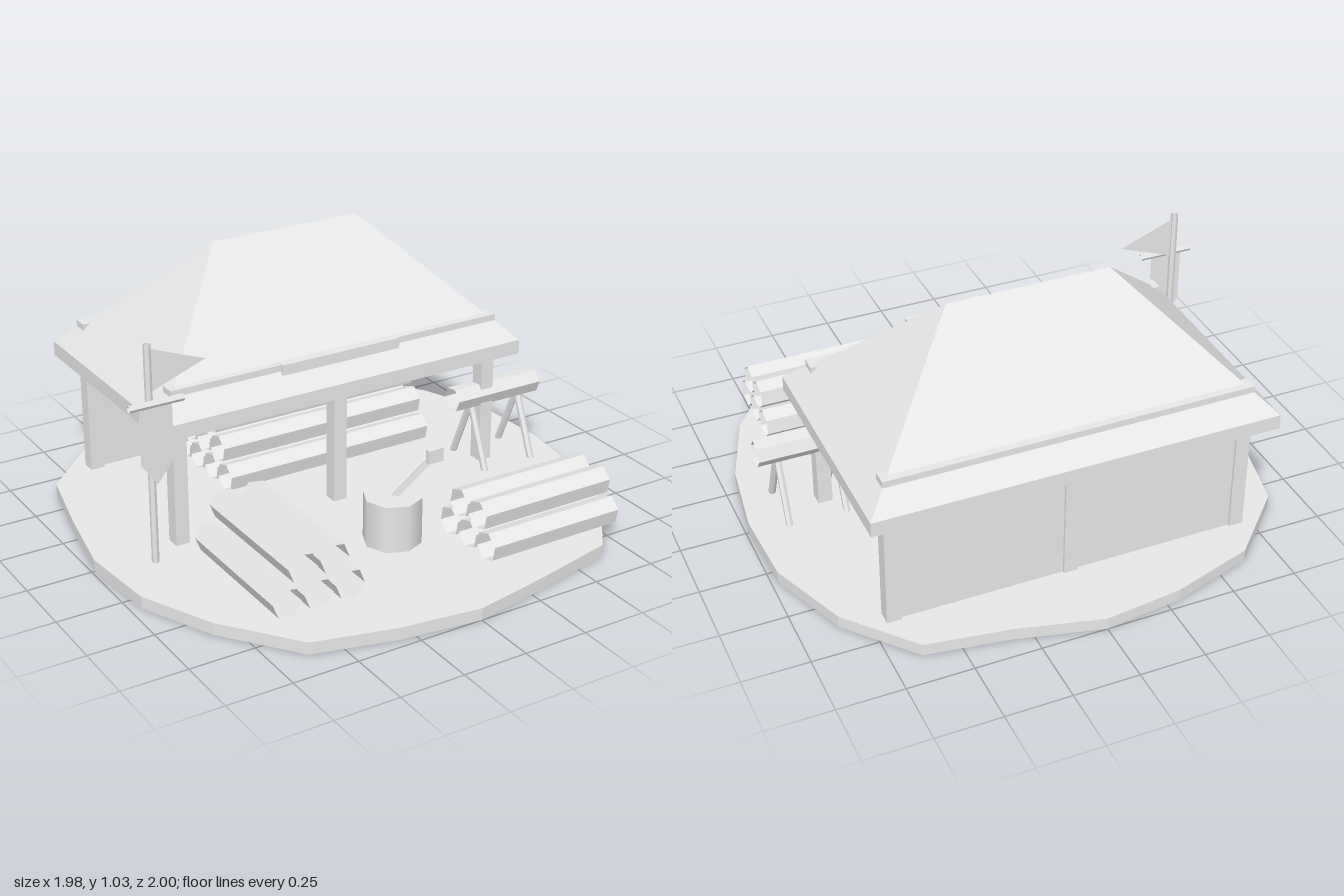
import * as THREE from 'three';
import { ConvexGeometry } from 'three/addons/geometries/ConvexGeometry.js';

const V = (x, y, z) => new THREE.Vector3(x, y, z);

// Gives every face its own flat normal
const facet = (geo) => {
  const flat = geo.toNonIndexed();
  flat.computeVertexNormals();
  return flat;
};

export function createModel() {
  const root = new THREE.Group();
  root.name = 'woodShed';
  const grey = new THREE.MeshStandardMaterial({ color: 0xe7e7e7, side: THREE.DoubleSide });
  grey.name = 'plainGrey';

  const add = (name, geo, parent = root) => {
    const mesh = new THREE.Mesh(geo, grey);
    mesh.name = name;
    parent.add(mesh);
    return mesh;
  };
  // Box given by its lower and upper corners
  const box = (name, [x0, y0, z0], [x1, y1, z1]) =>
    add(name, new THREE.BoxGeometry(x1 - x0, y1 - y0, z1 - z0))
      .position.set((x0 + x1) / 2, (y0 + y1) / 2, (z0 + z1) / 2);
  // Straight bar between two points, hollow if open
  const bar = (name, a, b, r, sides, open, parent = root) => {
    const geo = new THREE.CylinderGeometry(r, r, a.distanceTo(b), sides, 1, open);
    const mesh = add(name, facet(geo), parent);
    mesh.position.copy(a).add(b).multiplyScalar(0.5);
    mesh.quaternion.setFromUnitVectors(V(0, 1, 0), b.clone().sub(a).normalize());
  };
  // Hollow six-sided log along z, rolled about its length
  const log = (name, r, length, roll, parent) => {
    const geo = new THREE.CylinderGeometry(r, r, length, 6, 1, true);
    geo.rotateX(-Math.PI / 2);
    geo.rotateZ(roll);
    return add(name, facet(geo), parent);
  };

  // Irregular ground slab
  const outline = [[0, -1], [0.32, -0.92], [0.64, -0.87], [0.855, -0.62], [0.975, -0.31],
    [0.988, 0], [0.945, 0.31], [0.835, 0.61], [0.635, 0.865], [0.31, 0.94], [0, 1],
    [-0.31, 0.96], [-0.62, 0.88], [-0.83, 0.605], [-0.96, 0.32], [-0.988, 0],
    [-0.93, -0.31], [-0.86, -0.62], [-0.62, -0.865], [-0.3, -0.965]];
  const slab = new THREE.ExtrudeGeometry(
    new THREE.Shape(outline.map(([x, z]) => new THREE.Vector2(x, -z))),
    { depth: 0.047, bevelEnabled: false });
  slab.rotateX(-Math.PI / 2);
  add('groundSlab', slab);

  // Hipped roof with upright eaves and a shallow pointed underside
  const roofPoints = [V(-0.3, 1.026, -0.33), V(0.32, 1.026, -0.33), V(0.01, 0.48, -0.33)];
  for (const x of [-0.76, 0.78])
    for (const z of [-0.795, 0.132])
      roofPoints.push(V(x, 0.506, z), V(x, 0.563, z));
  add('roof', new ConvexGeometry(roofPoints));

  // Beams crossing the roof slopes, and the plate over the entrance
  box('frontRoofBeam', [-0.69, 0.637, 0.003], [0.71, 0.662, 0.063]);
  box('backRoofBeam', [-0.69, 0.637, -0.725], [0.71, 0.662, -0.668]);
  box('entrancePlate', [-0.243, 0.622, 0.012], [0.262, 0.663, 0.073]);

  // Six posts and the two back wall panels
  for (const x of [-0.69, -0.018, 0.656])
    for (const [side, z] of [['front', 0.007], ['back', -0.72]])
      box(side + 'Post', [x, 0.045, z], [x + 0.055, 0.515, z + 0.057]);
  box('backWallRight', [-0.64, 0.045, -0.71], [-0.015, 0.512, -0.68]);
  box('backWallLeft', [0.03, 0.045, -0.71], [0.66, 0.512, -0.68]);

  // Stacks of logs; rows shrink by one towards the top
  const logStack = (name, { base, rows, r, gap, rise, length, x, z, turn, roll }) => {
    const stack = new THREE.Group();
    stack.name = name;
    for (let row = 0; row < rows; row++) {
      const count = base - row;
      const y = 0.047 + r * Math.cos(roll) + row * rise;
      for (let i = 0; i < count; i++)
        log('log', r, length, roll, stack).position.set((i - (count - 1) / 2) * gap, y, 0);
    }
    stack.position.set(x, 0, z);
    stack.rotation.y = turn;
    root.add(stack);
  };
  const side = Math.PI / 2;
  logStack('rightLogStack', { base: 3, rows: 2, r: 0.059, gap: 0.125, rise: 0.118, length: 0.56, x: -0.473, z: 0.427, turn: 0, roll: 0.38 });
  logStack('leftLogStack', { base: 3, rows: 2, r: 0.057, gap: 0.114, rise: 0.1, length: 0.56, x: 0.485, z: 0.62, turn: side, roll: 0.2 });
  logStack('shedLogStack', { base: 4, rows: 3, r: 0.057, gap: 0.113, rise: 0.099, length: 0.9, x: 0.125, z: -0.405, turn: side, roll: 0.2 });

  // Chopping block with an axe stuck in it
  add('choppingBlock', new THREE.CylinderGeometry(0.11, 0.11, 0.185, 8))
    .position.set(0.007, 0.137, 0.427);
  bar('axeHandle', V(0.012, 0.22, 0.427), V(0.125, 0.4, 0.522), 0.015, 4, false);
  box('axeHead', [0.09, 0.372, 0.512], [0.153, 0.424, 0.532]);

  // Sawhorse: a log resting on two pairs of crossed legs
  const sawhorse = new THREE.Group();
  sawhorse.name = 'sawhorse';
  root.add(sawhorse);
  const rest = log('sawhorseLog', 0.05, 0.39, 0.4, sawhorse);
  rest.position.set(0.737, 0.327, 0.03);
  rest.rotation.y = -side;
  rest.scale.x = -1;
  for (const x of [0.627, 0.85])
    for (const s of [-1, 1])
      bar('sawhorseLeg', V(x, 0.3, 0.037), V(x, 0.006, 0.037 + s * 0.125), 0.014, 6, false, sawhorse);

  // Banner pole with crossbar, pointed banner and pennant
  bar('bannerPole', V(-0.805, 0.04, 0.125), V(-0.805, 0.888, 0.125), 0.014, 6, true);
  bar('bannerCrossbar', V(-0.91, 0.69, 0.182), V(-0.7, 0.69, 0.182), 0.013, 6, true);
  const cloth = (name, pts, z) => {
    const shape = new THREE.Shape(pts.map(([x, y]) => new THREE.Vector2(x, y)));
    add(name, new THREE.ShapeGeometry(shape)).position.z = z;
  };
  cloth('banner', [[-0.87, 0.685], [-0.87, 0.465], [-0.807, 0.38], [-0.743, 0.465], [-0.743, 0.685]], 0.178);
  cloth('pennant', [[-0.803, 0.706], [-0.582, 0.787], [-0.803, 0.872]], 0.125);

  return root;
}
